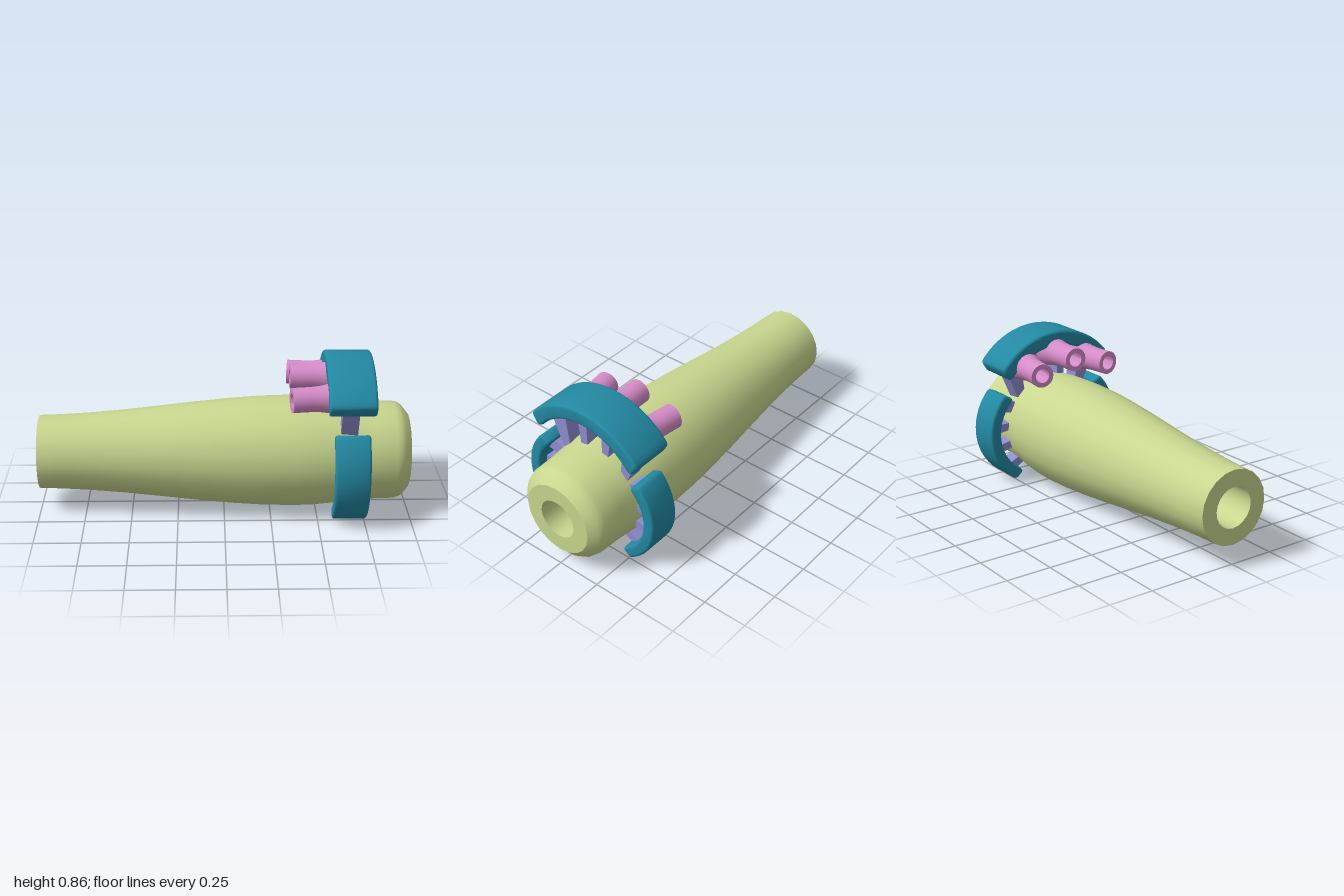
import * as THREE from 'three';
import { toCreasedNormals } from 'three/addons/utils/BufferGeometryUtils.js';

const AXIS_Y = 0.308;
const paint = (color) => new THREE.MeshStandardMaterial({ color });
const green = paint(0xc9d78f), teal = paint(0x2389a3), pink = paint(0xd68cc8), violet = paint(0x8f8dcf);

function part(name, geometry, material) {
  const mesh = new THREE.Mesh(toCreasedNormals(geometry, 0.65), material);
  mesh.name = name;
  return mesh;
}

// Hollow turned part along x; the profile is a list of [x, radius]
function turned(profile, sides) {
  const pts = [...profile, profile[0]].map(([x, r]) => new THREE.Vector2(r, x));
  return new THREE.LatheGeometry(pts, sides).rotateZ(-Math.PI / 2);
}

// Extrudes an outline of [z, y] points along x from x0 to x1
function slab(points, x0, x1, bevel = 0) {
  const shape = new THREE.Shape(points.map(([z, y]) => new THREE.Vector2(-z, y)));
  const geometry = new THREE.ExtrudeGeometry(shape, {
    depth: x1 - x0 - 2 * bevel, bevelEnabled: bevel > 0, bevelThickness: bevel,
    bevelSize: bevel, bevelOffset: -bevel, bevelSegments: 3,
  });
  return geometry.rotateY(Math.PI / 2).translate(x0 + bevel, 0, 0);
}

// Curved band outline with slanted, softened ends; angles in degrees from +z
function bandOutline(cz, cy, rIn, rOut, a0, a1, side = 1) {
  const pts = [];
  const add = (r, deg) => {
    const a = THREE.MathUtils.degToRad(deg);
    pts.push([side * (cz + r * Math.cos(a)), cy + r * Math.sin(a)]);
  };
  const t = rOut - rIn, steps = 28;
  for (let i = 0; i <= steps; i++) add(rOut, a0 + 1.5 + (a1 - a0 - 3) * i / steps);
  // rounded end, lip, then back along the inner arc
  add(rOut - t * 0.08, a1 + 0.4);
  add(rOut - t * 0.25, a1 + 1.6);
  add(rIn + t * 0.35, a1 + 3.6);
  add(rIn + t * 0.18, a1 + 3.6);
  add(rIn + t * 0.06, a1 + 2);
  for (let i = 0; i <= steps; i++) add(rIn, a1 - 0.5 + (a0 - a1 + 1) * i / steps);
  add(rIn + t * 0.06, a0 - 2);
  add(rIn + t * 0.18, a0 - 3.6);
  add(rIn + t * 0.35, a0 - 3.6);
  add(rOut - t * 0.25, a0 - 1.6);
  add(rOut - t * 0.08, a0 - 0.4);
  return pts;
}

// Tapered strut between two [z, y] points with a width at each end
function strutGeometry([z0, y0], [z1, y1], w0, w1, side) {
  const len = Math.hypot(z1 - z0, y1 - y0);
  const nz = -(y1 - y0) / len / 2, ny = (z1 - z0) / len / 2;
  const corners = [
    [z0 + nz * w0, y0 + ny * w0], [z0 - nz * w0, y0 - ny * w0],
    [z1 - nz * w1, y1 - ny * w1], [z1 + nz * w1, y1 + ny * w1],
  ];
  return slab(corners.map(([z, y]) => [side * z, y]), 0.615, 0.705);
}

export function createModel() {
  const model = new THREE.Group();
  model.name = 'barrelAssembly';

  // Hollow swelling barrel with a chamfered nose
  const barrel = part('barrel', turned([
    [-1, 0.2], [-0.87, 0.204], [-0.72, 0.213], [-0.55, 0.227], [-0.35, 0.248], [-0.15, 0.27],
    [0.05, 0.289], [0.2, 0.299], [0.38, 0.304], [0.5, 0.3], [0.6, 0.29], [0.7, 0.278],
    [0.8, 0.27], [0.92, 0.267], [0.945, 0.26], [0.965, 0.246], [1, 0.203],
    [1, 0.11], [-1, 0.11],
  ], 20), green);
  barrel.position.y = AXIS_Y;
  model.add(barrel);

  // Guard bands around the barrel
  model.add(part('topBand', slab(bandOutline(0, 0.415, 0.36, 0.446, 38, 142), 0.54, 0.79, 0.015), teal));
  for (const side of [1, -1]) {
    const label = side > 0 ? 'front' : 'back';
    model.add(part(label + 'Band',
      slab(bandOutline(0.094, 0.3, 0.262, 0.33, -59, 44, side), 0.575, 0.76, 0.014), teal));

    // Struts: inner point, outer point, inner width, outer width
    const struts = [
      [[0.06, 0.43], [0.086, 0.8], 0.03, 0.064],
      [[0.172, 0.42], [0.257, 0.715], 0.03, 0.11],
      [[0.06, 0.395], [0.325, 0.458], 0.024, 0.076],
      [[0.088, 0.34], [0.375, 0.324], 0.022, 0.052],
      [[0.08, 0.267], [0.36, 0.2], 0.024, 0.05],
      [[0.035, 0.213], [0.285, 0.075], 0.02, 0.056],
    ];
    struts.forEach(([a, b, w0, w1], i) =>
      model.add(part(label + 'Strut' + (i + 1), strutGeometry(a, b, w0, w1, side), violet)));
  }

  // Three flared tubes under the top band; the outer two splay apart toward the rear
  for (const side of [-1, 0, 1]) {
    const tube = part(['backTube', 'middleTube', 'frontTube'][side + 1], turned([
      [0, 0.066], [0.1, 0.066], [0.15, 0.069], [0.195, 0.077], [0.23, 0.086], [0.26, 0.091],
      [0.26, 0.062], [0.22, 0.054], [0.16, 0.044], [0.1, 0.04], [0, 0.04],
    ], 24), pink);
    tube.position.set(0.352, side ? 0.683 : 0.738, side * 0.221);
    tube.rotation.y = side * 0.14;
    model.add(tube);
  }
  return model;
}
